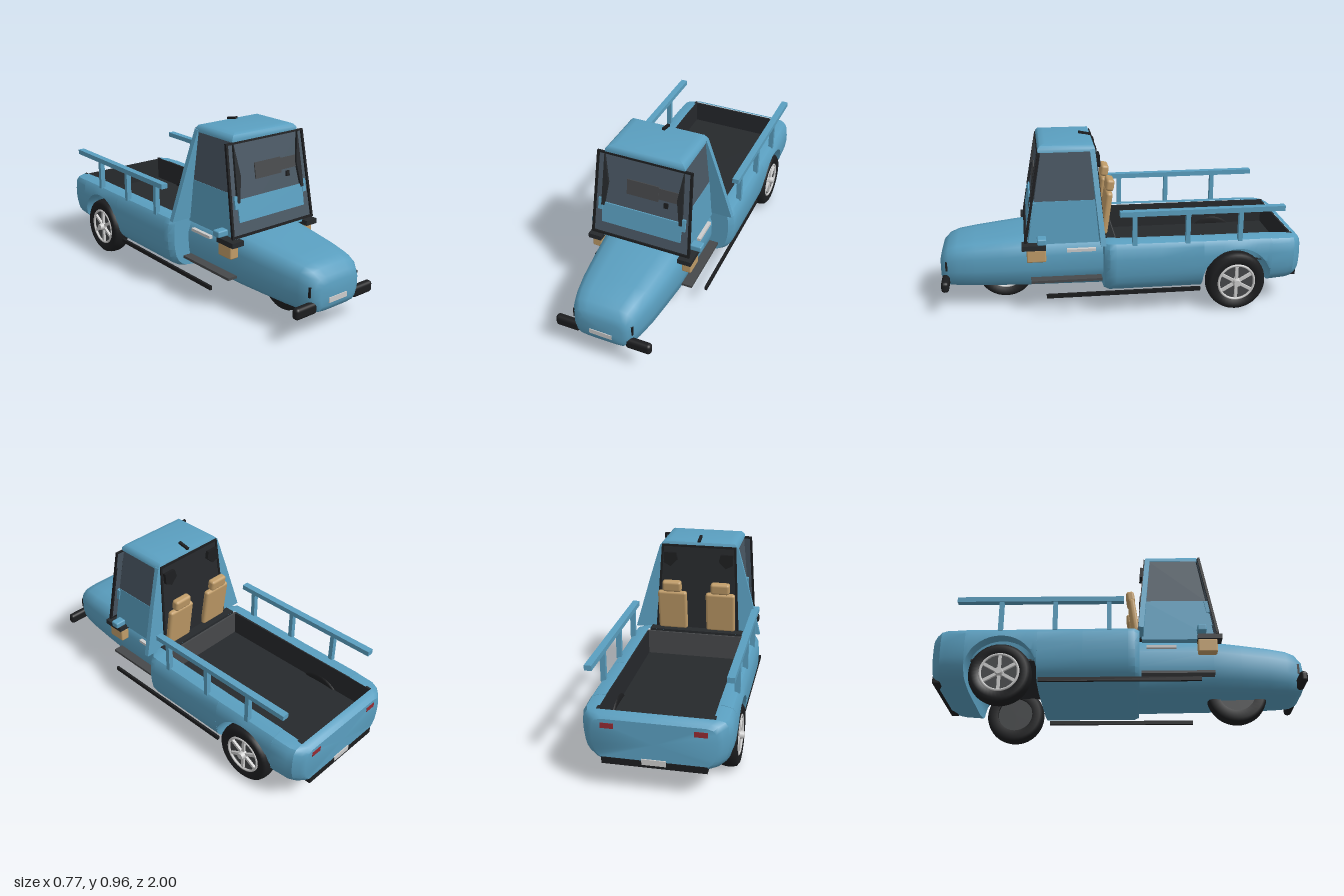
import * as THREE from 'three';
import { toCreasedNormals } from 'three/addons/utils/BufferGeometryUtils.js';
import { RoundedBoxGeometry } from 'three/addons/geometries/RoundedBoxGeometry.js';

const mat = (color) => new THREE.MeshStandardMaterial({ color });
const blue = mat(0x5a9fc0), glass = mat(0x4a5864), black = mat(0x1c1d1f), dark = mat(0x26292c);
const grey = mat(0x46484a), tan = mat(0xc09c68), red = mat(0x942a32), silver = mat(0xcccccc);

function add(parent, name, geometry, material, x = 0, y = 0, z = 0) {
  const mesh = new THREE.Mesh(geometry, material);
  mesh.name = name;
  mesh.position.set(x, y, z);
  parent.add(mesh);
  return mesh;
}

function group(parent, name, x, y, z, tilt = 0) {
  const g = new THREE.Group();
  g.name = name;
  g.position.set(x, y, z);
  g.rotation.x = tilt;
  parent.add(g);
  return g;
}

// Box given by its limits on each axis
function box(parent, name, m, [x0, x1], [y0, y1], [z0, z1]) {
  return add(parent, name, new THREE.BoxGeometry(Math.abs(x1 - x0), y1 - y0, z1 - z0), m,
    (x0 + x1) / 2, (y0 + y1) / 2, (z0 + z1) / 2);
}

// Skin over a row of rings, with both ends closed by fans
function loft(rings, crease) {
  const n = rings[0].length, pos = rings.flat(2), index = [];
  for (let i = 0; i < rings.length - 1; i++) {
    for (let j = 0; j < n - 1; j++) {
      const a = i * n + j, c = a + n;
      index.push(a, a + 1, c, a + 1, c + 1, c);
    }
  }
  for (const i of [0, rings.length - 1]) {
    const center = pos.length / 3;
    for (let k = 0; k < 3; k++) {
      const v = rings[i].map((p) => p[k]);
      pos.push((Math.min(...v) + Math.max(...v)) / 2);
    }
    for (let j = 0; j < n - 1; j++) {
      const a = i * n + j;
      if (i === 0) index.push(center, a + 1, a);
      else index.push(center, a, a + 1);
    }
  }
  const g = new THREE.BufferGeometry();
  g.setAttribute('position', new THREE.Float32BufferAttribute(pos, 3));
  g.setIndex(index);
  return toCreasedNormals(g, crease);
}

// Half outline (top to bottom on +x) mirrored into a full ring at depth z
const ring = (half, z) => [
  ...half.map(([x, y]) => [x, y, z]),
  ...half.slice().reverse().map(([x, y]) => [-x, y, z]),
];

// Stacked rectangles, top first: [y, half width, back z, front z]
const stack = (layers, crease = 0.3) => loft(layers.map(([y, w, b, f]) =>
  [[-w, y, b], [w, y, b], [w, y, f], [-w, y, f], [-w, y, b]]), crease);

// Flat plate from outline points, with an optional hole
function plate(points, depth, hole) {
  const shape = new THREE.Shape(points.map((p) => new THREE.Vector2(...p)));
  if (hole) shape.holes.push(new THREE.Path(hole.map((p) => new THREE.Vector2(...p))));
  return new THREE.ExtrudeGeometry(shape, { depth, bevelEnabled: false });
}

const trapezoid = (w0, w1, y0, y1) => [[-w0, y0], [w0, y0], [w1, y1], [-w1, y1]];

// Nose: rounded section that narrows towards the front
function noseGeometry() {
  const outline = [[0, 0], [0.5, 0.005], [0.78, 0.04], [0.93, 0.14], [1, 0.32], [1, 0.6],
    [0.95, 0.84], [0.8, 0.97], [0.5, 1], [0, 1]];
  const sections = [[0.996, 0.12, 0.29, 0.17], [0.985, 0.15, 0.325, 0.145], [0.95, 0.172, 0.36, 0.132],
    [0.9, 0.187, 0.378, 0.13], [0.8, 0.207, 0.39, 0.13], [0.65, 0.225, 0.405, 0.13],
    [0.5, 0.24, 0.42, 0.13], [0.09, 0.245, 0.425, 0.125]];
  return loft(sections.map(([z, w, t, b]) => ring(outline.map(([x, y]) => [x * w, t - y * (t - b)]), z)), 0.9);
}

// Rear body: rounded section with an open bed on top and wheel arches cut below
function rearBodyGeometry() {
  const outline = [[0.31, 0], [0.35, 0.035], [0.367, 0.12], [0.373, 0.3], [0.373, 0.45], [0.368, 0.6],
    [0.358, 0.74], [0.342, 0.83], [0.32, 0.9], [0.3, 0.935], [0.287, 0.95], [0.18, 1], [0, 1]];
  const sections = [[0.1, 0.92, 0.427, 0.12], [0.075, 0.99, 0.43, 0.115], [0.041, 1, 0.43, 0.115],
    [0.039, 1, 0.43, 0.115], [-0.2, 1, 0.428, 0.115], [-0.4399, 1, 0.426, 0.115]];
  for (let i = 0; i <= 20; i++) {
    sections.push([-0.63 + 0.1899 * Math.cos(i * Math.PI / 20), 1, 0.425, 0.125]);
  }
  sections.push([-0.8201, 1, 0.423, 0.13], [-0.92, 0.99, 0.42, 0.138], [-0.9499, 0.955, 0.417, 0.142],
    [-0.9501, 0.955, 0.417, 0.142], [-0.98, 0.88, 0.405, 0.15], [-0.997, 0.82, 0.39, 0.16]);
  return loft(sections.map(([z, s, t, b]) => {
    const rim = z < 0.04 && z > -0.95 ? 0.28 : 0;
    const d = z + 0.63;
    const arch = Math.abs(d) < 0.19 ? 0.18 + Math.sqrt(0.0361 - d * d) : 0;
    const half = [[rim, t], ...outline.map(([x, y]) =>
      [x * s, Math.max(t - y * (t - b), x < 0.29 ? Math.min(arch, 0.265) : arch)])];
    return ring(half, z);
  }), 0.7);
}

function addWheel(parent, name, x, y, z, side) {
  const wheel = group(parent, name, x, y, z);
  wheel.rotation.z = -side * Math.PI / 2; // local +y points outwards
  const tyre = [[0.1, -0.045], [0.145, -0.05], [0.16, -0.038], [0.166, -0.015], [0.166, 0.015],
    [0.16, 0.038], [0.145, 0.05], [0.11, 0.046], [0.1, 0.03], [0.1, -0.045]];
  add(wheel, 'tyre', new THREE.LatheGeometry(tyre.map((p) => new THREE.Vector2(...p)), 40), black);
  add(wheel, 'wheelDisc', new THREE.CylinderGeometry(0.101, 0.101, 0.06, 32), grey);
  const rim = add(wheel, 'rim', new THREE.TorusGeometry(0.1, 0.007, 8, 40), silver, 0, 0.042);
  rim.rotation.x = Math.PI / 2;
  add(wheel, 'hub', new THREE.CylinderGeometry(0.018, 0.026, 0.04, 16), silver, 0, 0.046);
  for (let i = 0; i < 6; i++) {
    const a = i * Math.PI / 3;
    const spoke = add(wheel, 'spoke', new THREE.BoxGeometry(0.085, 0.016, 0.016), silver,
      0.055 * Math.cos(a), 0.036, -0.055 * Math.sin(a));
    spoke.rotation.y = a;
  }
}

export function createModel() {
  const model = new THREE.Group();
  model.name = 'threeWheeledPickup';

  add(model, 'nose', noseGeometry(), blue);
  add(model, 'rearBody', rearBodyGeometry(), blue);

  // Load bed
  box(model, 'bedFloor', dark, [-0.285, 0.285], [0.262, 0.28], [-0.95, 0.04]);
  box(model, 'bedFrontWall', grey, [-0.285, 0.285], [0.27, 0.42], [0.03, 0.045]);
  box(model, 'bedRearWall', dark, [-0.285, 0.285], [0.27, 0.41], [-0.955, -0.945]);
  box(model, 'rearDeck', dark, [-0.27, 0.27], [0.42, 0.434], [0.04, 0.11]);

  // Cab
  add(model, 'cabDoors', stack([[0.64, 0.24, 0.13, 0.472], [0.4, 0.25, 0.115, 0.51]]), blue);
  add(model, 'cabWindows', stack([[0.915, 0.22, 0.15, 0.425], [0.64, 0.238, 0.131, 0.47]]), glass);
  add(model, 'roof', stack([[0.945, 0.17, 0.17, 0.4], [0.938, 0.205, 0.145, 0.43],
    [0.922, 0.221, 0.138, 0.442], [0.905, 0.224, 0.136, 0.442]], 0.7), blue);
  box(model, 'antenna', black, [-0.008, 0.008], [0.945, 0.957], [0.14, 0.21]).rotation.x = -0.2;

  // Windscreen, its frame and the panels on it
  const screen = group(model, 'windscreen', 0, 0.42, 0.517, -0.175);
  add(screen, 'windscreenGlass', plate(trapezoid(0.28, 0.26, 0, 0.485), 0.004), glass);
  add(screen, 'windscreenFrame', plate(trapezoid(0.286, 0.266, 0, 0.49), 0.014,
    trapezoid(0.273, 0.254, 0.012, 0.48)), black);
  box(screen, 'dashPanel', blue, [-0.228, 0.228], [0.077, 0.195], [-0.01, 0.012]);
  box(screen, 'mirrorPanel', grey, [-0.09, 0.09], [0.28, 0.365], [0, 0.01]);
  box(screen, 'sidePanel', grey, [0.09, 0.2], [0.295, 0.357], [0, 0.008]);
  box(screen, 'switch', black, [0.122, 0.145], [0.254, 0.283], [0, 0.012]);

  // Rear window
  const back = group(model, 'cabBack', 0, 0.42, 0.092, 0.085);
  add(back, 'rearWindow', plate(trapezoid(0.24, 0.21, 0.01, 0.5), 0.02), dark);
  add(back, 'rearWindowFrame', plate(trapezoid(0.245, 0.215, 0, 0.505), 0.022,
    trapezoid(0.232, 0.203, 0.012, 0.493)), black).position.z = -0.004;

  // Bumpers, plates and front wheel
  box(model, 'frontPlate', silver, [-0.063, 0.063], [0.185, 0.213], [0.985, 1]);
  box(model, 'rearBumper', black, [-0.26, 0.26], [0.15, 0.185], [-1, -0.96]);
  box(model, 'rearPlate', silver, [-0.06, 0.06], [0.165, 0.195], [-1.003, -0.98]);
  addWheel(model, 'frontWheel', 0, 0.166, 0.64, 1);

  for (const s of [1, -1]) {
    const flip = (points) => points.map(([x, y]) => [s * x, y]);
    const span = (a, b) => [s * a, s * b];
    box(model, 'bedSideWall', dark, span(0.278, 0.29), [0.265, 0.42], [-0.95, 0.04]);
    addWheel(model, 'rearWheel', s * 0.32, 0.166, -0.63, s);

    // Fairing beside the rear window
    add(back, 'fairing', plate(flip([[0.22, 0], [0.368, 0], [0.335, 0.12], [0.288, 0.29], [0.25, 0.42],
      [0.226, 0.5], [0.21, 0.5]]), 0.028), blue).position.z = 0.003;
    add(back, 'cornerPad', plate(flip([[0.2, 0.46], [0.13, 0.46], [0.12, 0.42], [0.16, 0.38],
      [0.2, 0.4]]), 0.03), black).position.z = -0.02;
    add(screen, 'screenPillar', plate(flip([[0.222, 0.485], [0.195, 0.32], [0.215, 0.18],
      [0.232, 0.18]]), 0.018), dark);
    box(screen, 'dashEnd', blue, span(0.224, 0.25), [0.15, 0.218], [-0.02, 0.016]);

    // Seat
    const seat = group(model, 'seat', s * 0.14, 0.43, 0.092, -0.14);
    add(seat, 'backrest', new RoundedBoxGeometry(0.17, 0.24, 0.035, 2, 0.015), tan, 0, 0.12);
    add(seat, 'headrest', new RoundedBoxGeometry(0.11, 0.065, 0.045, 2, 0.015), tan, 0, 0.272);

    // Side rail
    const rail = group(model, 'sideRail', 0, 0, 0);
    box(rail, 'railBar', blue, span(0.327, 0.365), [0.577, 0.605], [-0.88, 0.02]);
    for (const z of [-0.06, -0.35, -0.64]) {
      box(rail, 'railPost', blue, span(0.332, 0.36), [0.41, 0.58], [z - 0.012, z + 0.012]);
    }

    // Headlight with its bracket and mirror block
    box(model, 'lampBracket', dark, span(0.225, 0.3), [0.382, 0.41], [0.415, 0.545]);
    add(model, 'headlight', new RoundedBoxGeometry(0.054, 0.075, 0.105, 2, 0.008), tan, s * 0.265, 0.347, 0.467);
    add(model, 'lampBlock', new RoundedBoxGeometry(0.065, 0.036, 0.05, 2, 0.008), blue, s * 0.292, 0.437, 0.437);

    // Running gear and trim along the sides
    box(model, 'step', grey, span(0.21, 0.29), [0.186, 0.2], [0.11, 0.5]);
    box(model, 'sillBar', black, span(0.333, 0.347), [0.12, 0.142], [-0.43, 0.42]);
    box(model, 'doorHandle', silver, span(0.235, 0.256), [0.348, 0.364], [0.14, 0.3]);
    add(model, 'frontBumper', new RoundedBoxGeometry(0.14, 0.062, 0.042, 3, 0.018), black, s * 0.2, 0.175, 0.968);
    box(model, 'noseVent', black, span(0.158, 0.168), [0.23, 0.285], [0.955, 0.968]);
    box(model, 'tailLight', red, span(0.195, 0.26), [0.342, 0.37], [-0.999, -0.97]);
  }
  return model;
}
